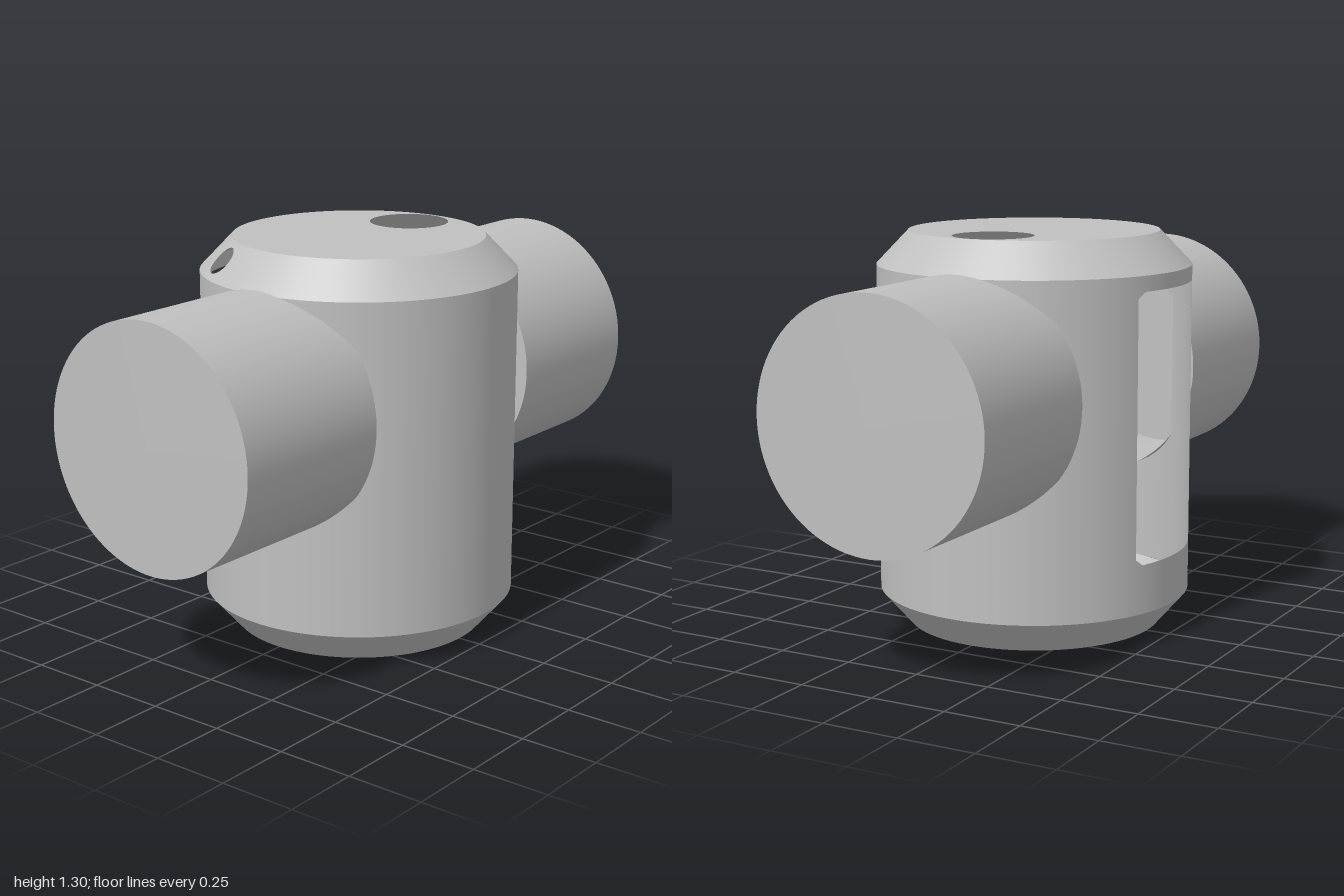
import * as THREE from 'three';
import { mergeGeometries } from 'three/addons/utils/BufferGeometryUtils.js';
import { ParametricGeometry } from 'three/addons/geometries/ParametricGeometry.js';

const R = 0.515, RIM = 0.41, BASE = 0.42, HEIGHT = 1.3;      // body shell
const LOW = 0.11, HIGH = 1.19;                               // straight wall limits
const PIPE_R = 0.39, PIPE_Y = 0.81, MOUTH = 0.41;            // side pipes
const Q = Math.PI / 2;

// Surface of revolution piece between angles a and b (measured from the x axis towards +z).
// profile(t) gives [radius, y]; lo and hi limit t per angle. side mirrors in x.
function patch(side, a, b, slices, profile, lo, hi) {
  const [from, to] = side > 0 ? [b, a] : [a, b];
  return new ParametricGeometry((u, v, target) => {
    const phi = from + (to - from) * u;
    const t0 = lo(phi), t1 = hi(phi);
    const [r, y] = profile(t0 + (t1 - t0) * v);
    target.set(side * r * Math.cos(phi), y, r * Math.sin(phi));
  }, slices, 2);
}

export function createModel() {
  const model = new THREE.Group();
  model.name = 'pipeJunction';
  const grey = new THREE.MeshStandardMaterial({ color: 0xc0c0c0, side: THREE.DoubleSide });
  grey.name = 'grey';
  const add = (name, geometry, parent = model) => {
    const mesh = new THREE.Mesh(geometry, grey);
    mesh.name = name;
    parent.add(mesh);
    return mesh;
  };
  const at = (value) => () => value;

  // Wall with a rear window and an opening into each pipe
  const wallProfile = (y) => [R, y];
  const windowEdge = -Math.acos(0.2 / R), cornerEdge = -Math.acos(0.173 / R);
  const openEdge = Math.acos(MOUTH / R);
  const cut = (phi) => Math.max(0, R * Math.cos(phi) - 0.173) / 0.027 * 0.02;
  const opening = (phi) => Math.sqrt(PIPE_R ** 2 - (R * Math.sin(phi)) ** 2);
  const wall = [];
  for (const side of [1, -1]) {
    for (const [a, b, n] of [[-Q, cornerEdge, 10], [cornerEdge, windowEdge, 3]]) {
      wall.push(patch(side, a, b, n, wallProfile, at(LOW), (p) => 0.27 + cut(p)));
      wall.push(patch(side, a, b, n, wallProfile, (p) => 1.14 - cut(p), at(HIGH)));
    }
    wall.push(patch(side, windowEdge, -openEdge, 14, wallProfile, at(LOW), at(HIGH)));
    wall.push(patch(side, -openEdge, openEdge, 40, wallProfile, at(LOW), (p) => PIPE_Y - opening(p)));
    wall.push(patch(side, -openEdge, openEdge, 40, wallProfile,
      (p) => Math.min(HIGH - 0.004, PIPE_Y + opening(p)), at(HIGH)));
    wall.push(patch(side, openEdge, Q, 24, wallProfile, at(LOW), at(HIGH)));
  }
  add('bodyWall', mergeGeometries(wall));

  // Bottom chamfer, open underneath
  const bottomProfile = (t) => [BASE + (R - BASE) * t, LOW * t];
  add('bottomChamfer', mergeGeometries([1, -1].map((side) =>
    patch(side, -Q, Q, 64, bottomProfile, at(0), at(1)))));

  // Top chamfer with a small round hole at the rear
  const topProfile = (t) => [R + (RIM - R) * t, HIGH + (HEIGHT - HIGH) * t];
  const slope = Math.hypot(R - RIM, HEIGHT - HIGH);
  const holeR = 0.052, holePhi = -0.54, midR = (R + RIM) / 2, half = holeR / midR;
  const hole = (p) =>
    Math.sqrt(Math.max(0, holeR ** 2 - ((p - holePhi) * midR) ** 2)) / slope;
  add('topChamfer', mergeGeometries([
    patch(1, -Q, Q, 64, topProfile, at(0), at(1)),
    patch(-1, -Q, holePhi - half, 20, topProfile, at(0), at(1)),
    patch(-1, holePhi - half, holePhi + half, 32, topProfile, at(0), (p) => 0.5 - hole(p)),
    patch(-1, holePhi - half, holePhi + half, 32, topProfile, (p) => 0.5 + hole(p), at(1)),
    patch(-1, holePhi + half, Q, 44, topProfile, at(0), at(1)),
  ]));

  // Top plate with an off-centre round hole
  const plate = new THREE.Shape().absarc(0, 0, RIM, 0, Math.PI * 2);
  plate.holes.push(new THREE.Path().absarc(0.27, 0, 0.13, 0, Math.PI * 2, true));
  add('topPlate', new THREE.ShapeGeometry(plate, 64).rotateX(-Q).translate(0, HEIGHT, 0));

  // Hollow side pipes, closed at the outer end
  const length = 1 - MOUTH;
  const arc = Math.acos(Math.sqrt(R ** 2 - MOUTH ** 2) / PIPE_R);
  for (const side of [1, -1]) {
    const pipe = new THREE.Group();
    pipe.name = side > 0 ? 'leftPipe' : 'rightPipe';
    pipe.position.y = PIPE_Y;
    model.add(pipe);
    add('pipeWall', new THREE.CylinderGeometry(PIPE_R, PIPE_R, length, 96, 1, true)
      .rotateZ(Q).translate(side * (MOUTH + length / 2), 0, 0), pipe);
    add('pipeEnd', new THREE.CircleGeometry(PIPE_R, 96)
      .rotateY(side * Q).translate(side, 0, 0), pipe);
    // Inner end slivers beside the body
    for (const turn of [0, Math.PI]) {
      const sliver = new THREE.Shape().absarc(0, 0, PIPE_R, turn - arc, turn + arc);
      add('pipeShoulder', new THREE.ShapeGeometry(sliver, 24)
        .rotateY(-side * Q).translate(side * MOUTH, 0, 0), pipe);
    }
  }
  return model;
}
